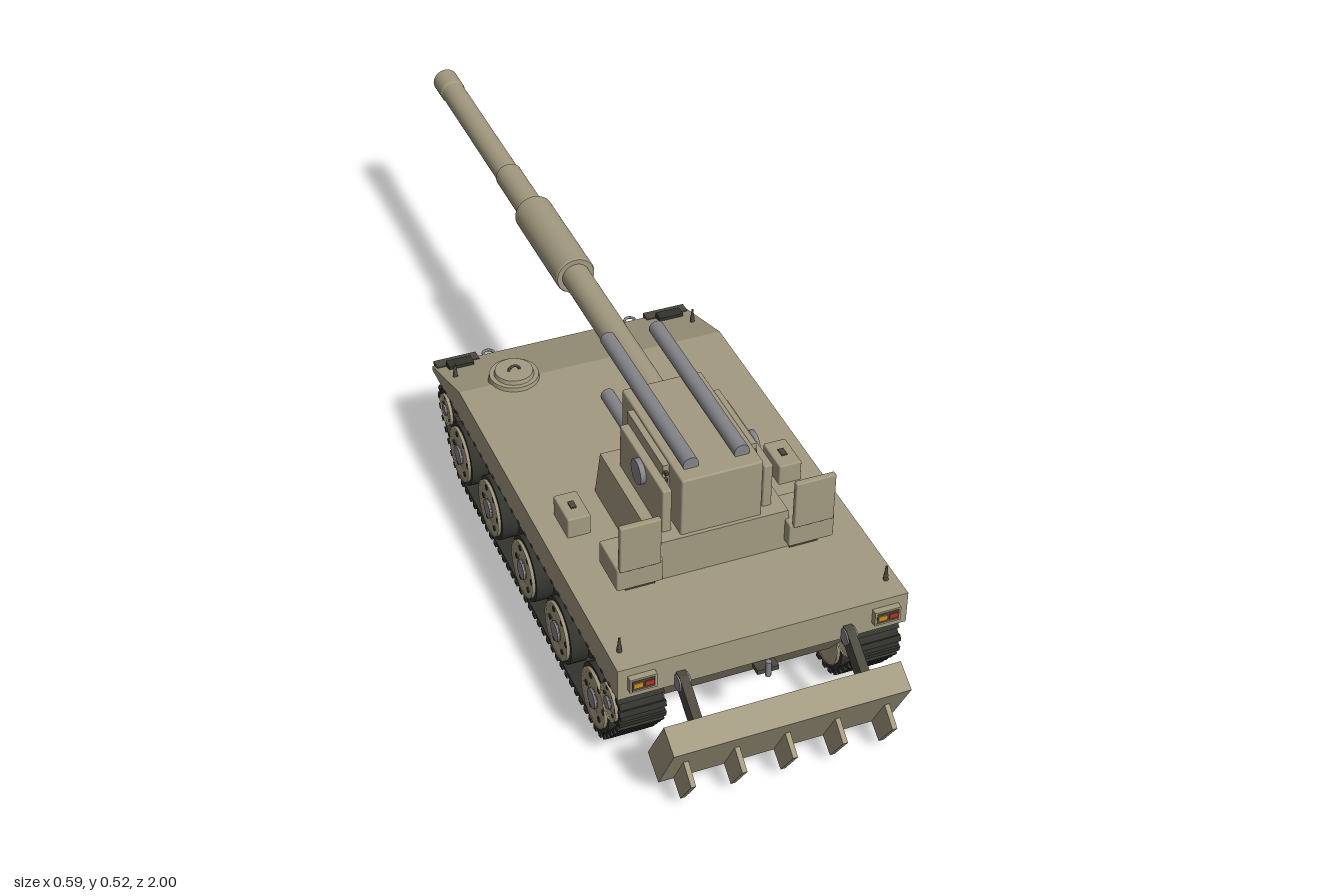
import * as THREE from 'three';
import { RoundedBoxGeometry } from 'three/addons/geometries/RoundedBoxGeometry.js';

const mat = (color) => new THREE.MeshStandardMaterial({ color });
const TAN = mat(0xa39a80), DARK = mat(0x34342f), STEEL = mat(0x85858a), SHADE = mat(0x4c4940);
const ORANGE = mat(0xd08a20), RED = mat(0xb03424);
TAN.side = THREE.DoubleSide;

function add(parent, name, geometry, material, x = 0, y = 0, z = 0) {
  const m = new THREE.Mesh(geometry, material);
  m.name = name;
  m.position.set(x, y, z);
  parent.add(m);
  return m;
}

// Box given by its extents on each axis
function box(parent, name, material, [x0, x1], [y0, y1], [z0, z1], round = 0) {
  const s = [Math.abs(x1 - x0), y1 - y0, Math.abs(z1 - z0)];
  const g = round ? new RoundedBoxGeometry(...s, 2, round) : new THREE.BoxGeometry(...s);
  return add(parent, name, g, material, (x0 + x1) / 2, (y0 + y1) / 2, (z0 + z1) / 2);
}

// Side profile given as [z, y] points, extruded across x
function prism(pts, width, hole) {
  const shape = new THREE.Shape(pts.map((p) => new THREE.Vector2(...p)));
  if (hole) shape.holes.push(new THREE.Path(hole.map((p) => new THREE.Vector2(...p))));
  return new THREE.ExtrudeGeometry(shape, { depth: width, bevelEnabled: false })
    .translate(0, 0, -width / 2).rotateY(-Math.PI / 2);
}

const cylX = (r, len, n = 24) => new THREE.CylinderGeometry(r, r, len, n).rotateZ(-Math.PI / 2);
const cylZ = (r, len, n = 20) => new THREE.CylinderGeometry(r, r, len, n).rotateX(Math.PI / 2);

// Wheels [z, y, outer track radius]
const IDLER = [0.788, 0.145, 0.056], SPROCKET = [-0.165, 0.145, 0.056];
const ROAD = [0.71, 0.51, 0.315, 0.11, -0.08].map((z) => [z, 0.085, 0.081]);

// Belt outline wrapped tightly around the wheels
function beltPath(inset) {
  const pts = [], circles = [IDLER, SPROCKET, ROAD[0], ROAD[4]];
  for (let i = 0; i < 120; i++) {
    const a = (i / 120) * Math.PI * 2, c = Math.cos(a), s = Math.sin(a);
    const reach = (k) => k[0] * c + k[1] * s + k[2];
    const k = circles.reduce((p, q) => (reach(q) > reach(p) ? q : p));
    pts.push([k[0] + (k[2] - inset) * c, k[1] + (k[2] - inset) * s]);
  }
  return pts;
}

function makeTrack(side) {
  const g = new THREE.Group();
  g.name = 'track';
  const outer = beltPath(0.003);
  add(g, 'trackBelt', prism(outer, 0.088, beltPath(0.011)), DARK);
  // Evenly spaced links with a raised grouser
  const loop = new THREE.Shape([...outer, outer[0]].map((p) => new THREE.Vector2(...p)));
  const n = 88, pts = loop.getSpacedPoints(n);
  const links = new THREE.InstancedMesh(new THREE.BoxGeometry(0.094, 0.010, 0.013), DARK, n);
  links.name = 'trackLinks';
  const d = new THREE.Object3D();
  for (let i = 0; i < n; i++) {
    const p = pts[i], q = pts[(i + 1) % n];
    d.position.set(0, (p.y + q.y) / 2, (p.x + q.x) / 2);
    d.rotation.x = -Math.atan2(q.y - p.y, q.x - p.x);
    d.updateMatrix();
    links.setMatrixAt(i, d.matrix);
  }
  g.add(links);
  g.position.x = side * 0.2425;
  return g;
}

function makeWheel(name, r, side, [z, y]) {
  const g = new THREE.Group();
  g.name = name;
  for (const x of [-0.025, 0.025]) add(g, 'tyre', cylX(r, 0.036, 32), DARK, x);
  add(g, 'axle', cylX(r * 0.3, 0.1), SHADE);
  // Dished disc on each face
  const dish = [[0, 0.047], [0.4, 0.047], [0.5, 0.044], [0.78, 0.045], [0.88, 0.050], [0.88, 0.03]]
    .map(([a, h]) => new THREE.Vector2(a * r, h));
  const disc = new THREE.LatheGeometry(dish, 32).rotateZ(-Math.PI / 2);
  add(g, 'outerDisc', disc, TAN);
  add(g, 'innerDisc', disc, TAN).rotation.y = Math.PI;
  add(g, 'hub', cylX(r * 0.3, 0.012, 16), STEEL, 0.047);
  for (let i = 0; i < 6; i++) {
    const a = (i / 6) * Math.PI * 2;
    add(g, 'discHole', cylX(r * 0.09, 0.004, 10), DARK, 0.0445, Math.sin(a) * r * 0.63, Math.cos(a) * r * 0.63);
  }
  g.position.set(side * 0.2425, y, z);
  if (side < 0) g.rotation.y = Math.PI;
  return g;
}

function makeRunningGear(root, side) {
  root.add(makeTrack(side));
  ROAD.forEach((w) => root.add(makeWheel('roadWheel', 0.07, side, w)));
  root.add(makeWheel('idlerWheel', 0.044, side, IDLER));
  const sprocket = makeWheel('driveSprocket', 0.04, side, SPROCKET);
  for (let i = 0; i < 12; i++) {
    const a = (i / 12) * Math.PI * 2;
    const t = add(sprocket, 'sprocketTooth', new THREE.BoxGeometry(0.08, 0.012, 0.010), SHADE,
      0, Math.cos(a) * 0.04, Math.sin(a) * 0.04);
    t.rotation.x = a;
  }
  root.add(sprocket);
}

function makeHull(root) {
  add(root, 'upperHull', prism([[0.845, 0.203], [0.845, 0.275], [-0.05, 0.275], [-0.235, 0.213], [-0.235, 0.203]], 0.59), TAN);
  add(root, 'lowerHull', prism([[0.845, 0.21], [-0.23, 0.21], [-0.12, 0.075], [0.74, 0.075]], 0.385), TAN);
  // Driver hatch
  const hatch = new THREE.Group();
  hatch.name = 'hatch';
  hatch.position.set(-0.17, 0.275, -0.06);
  add(hatch, 'hatchRing', new THREE.CylinderGeometry(0.052, 0.057, 0.03, 32), TAN, 0, -0.006);
  add(hatch, 'hatchLid', new THREE.CylinderGeometry(0.040, 0.043, 0.012, 32), TAN, 0, 0.012);
  add(hatch, 'hatchHandle', new THREE.TorusGeometry(0.012, 0.003, 6, 12, Math.PI), SHADE, 0, 0.016);
  root.add(hatch);
  for (const s of [1, -1]) {
    // Corner markers
    for (const [z, y] of [[0.795, 0.275], [-0.145, 0.243]]) {
      add(root, 'markerPost', new THREE.CylinderGeometry(0.002, 0.006, 0.038, 8), SHADE, s * 0.272, y + 0.014, z);
      add(root, 'markerTip', new THREE.SphereGeometry(0.005, 10, 8), SHADE, s * 0.272, y + 0.010, z);
    }
    // Front lamps
    const x = s * 0.2485;
    box(root, 'lampFrame', TAN, [x - 0.027, x + 0.027], [0.225, 0.257], [0.84, 0.858]);
    box(root, 'lampRecess', SHADE, [x - 0.023, x + 0.023], [0.229, 0.253], [0.85, 0.859]);
    box(root, 'turnLamp', ORANGE, [x - 0.021, x - 0.002], [0.236, 0.248], [0.85, 0.861]);
    box(root, 'stopLamp', RED, [x + 0.002, x + 0.021], [0.236, 0.248], [0.85, 0.861]);
    // Rear fittings and tow loops
    box(root, 'rearFlap', SHADE, [s * 0.195, s * 0.29], [0.205, 0.222], [-0.24, -0.215]);
    box(root, 'rearHinge', DARK, [s * 0.215, s * 0.27], [0.215, 0.235], [-0.215, -0.19]);
    add(root, 'towLoop', new THREE.TorusGeometry(0.012, 0.003, 8, 16).rotateX(Math.PI / 2), STEEL, s * 0.165, 0.208, -0.242);
    box(root, 'deckBox', TAN, [s * 0.2, s * 0.248], [0.27, 0.32], [0.385, 0.465], 0.003);
    box(root, 'deckBoxHandle', SHADE, [s * 0.218, s * 0.23], [0.318, 0.323], [0.415, 0.435]);
    // Rivets along the skirt
    for (let i = 0; i < 26; i++) box(root, 'skirtBolt', SHADE, [s * 0.294, s * 0.297], [0.205, 0.210], [0.81 - i * 0.038, 0.80 - i * 0.038]);
  }
  box(root, 'towHitch', SHADE, [-0.022, 0.022], [0.19, 0.20], [0.84, 0.865]);
  add(root, 'towPin', new THREE.CylinderGeometry(0.006, 0.006, 0.035, 10), STEEL, 0, 0.2, 0.865);
}

function makeBlade(root) {
  const blade = new THREE.Group();
  blade.name = 'dozerBlade';
  add(blade, 'bladePlate', prism([[0.935, 0.197], [0.985, 0.168], [0.915, 0.035], [0.862, 0.065]], 0.48), TAN);
  for (let i = -2; i <= 2; i++) {
    add(blade, 'bladeTooth', prism([[0.96, 0.12], [0.998, 0.09], [0.95, 0.015], [0.91, 0.04]], 0.01), TAN, i * 0.1025);
  }
  for (const s of [1, -1]) {
    add(blade, 'bladeArm', prism([[0.84, 0.235], [0.862, 0.235], [0.935, 0.185], [0.915, 0.155], [0.84, 0.205]], 0.018), SHADE, s * 0.17);
    add(blade, 'armPivot', cylX(0.017, 0.024, 16), STEEL, s * 0.17, 0.217, 0.856);
  }
  root.add(blade);
}

function makeGun(root) {
  const gun = new THREE.Group();
  gun.name = 'gun';
  // Tapered pedestal
  const base = new THREE.BoxGeometry(0.29, 0.095, 0.29);
  const p = base.attributes.position;
  for (let i = 0; i < p.count; i++) p.setX(i, p.getX(i) * (p.getY(i) > 0 ? 0.94 : 1.02));
  base.computeVertexNormals();
  add(gun, 'pedestal', base, TAN, 0, 0.3185, 0.495);
  box(gun, 'gunHousing', TAN, [-0.083, 0.083], [0.362, 0.496], [0.33, 0.632], 0.004);
  for (const s of [1, -1]) {
    box(gun, 'innerCheek', TAN, [s * 0.08, s * 0.096], [0.362, 0.49], [0.39, 0.57]);
    box(gun, 'outerCheek', TAN, [s * 0.094, s * 0.113], [0.362, 0.464], [0.395, 0.612], 0.003);
    for (let i = 0; i < 7; i++) box(gun, 'cheekBolt', SHADE, [s * 0.088, s * 0.094], [0.375 + i * 0.016, 0.382 + i * 0.016], [0.57, 0.578]);
    add(gun, 'trunnion', cylX(0.026, 0.02), STEEL, s * 0.114, 0.435, 0.505);
    add(gun, 'upperRecoilTube', cylZ(0.016, 0.425), STEEL, s * 0.052, 0.504, 0.388);
    add(gun, 'lowerRecoilTube', cylZ(0.015, 0.2), STEEL, s * 0.052, 0.363, 0.275);
    // Crew seats
    box(gun, 'seatBase', TAN, [s * 0.13, s * 0.224], [0.293, 0.346], [0.57, 0.662], 0.003);
    box(gun, 'seatMount', SHADE, [s * 0.14, s * 0.2], [0.275, 0.295], [0.585, 0.645]);
    box(gun, 'seatBack', TAN, [s * 0.137, s * 0.22], [0.342, 0.45], [0.655, 0.668], 0.003);
  }
  // Barrel with sleeve and open muzzle; profile as [radius, z]
  const profile = [[0.030, 0.36], [0.030, -0.14], [0.041, -0.14], [0.043, -0.144], [0.043, -0.396], [0.041, -0.40],
    [0.030, -0.40], [0.030, -0.558], [0.027, -0.562], [0.027, -0.94], [0.029, -0.945], [0.029, -1], [0.018, -1], [0.018, -0.85], [0, -0.85]];
  const pos = [];
  // Repeated points keep the steps crisp
  profile.forEach(([r, z], i) => {
    if (i) pos.push([profile[i - 1], [r, z]]);
  });
  const barrel = new THREE.Group();
  barrel.name = 'barrel';
  barrel.position.y = 0.436;
  pos.forEach(([a, b], i) => {
    const g = new THREE.LatheGeometry([a, b].map(([r, z]) => new THREE.Vector2(r, -z)), 32).rotateX(-Math.PI / 2);
    add(barrel, i > 11 ? 'bore' : 'barrelSection', g, i > 11 ? BORE : TAN);
  });
  gun.add(barrel);
  root.add(gun);
}
const BORE = mat(0x3a3934);
BORE.side = THREE.DoubleSide;

export function createModel() {
  const root = new THREE.Group();
  root.name = 'selfPropelledGun';
  makeHull(root);
  for (const s of [1, -1]) makeRunningGear(root, s);
  makeBlade(root);
  makeGun(root);
  return root;
}
